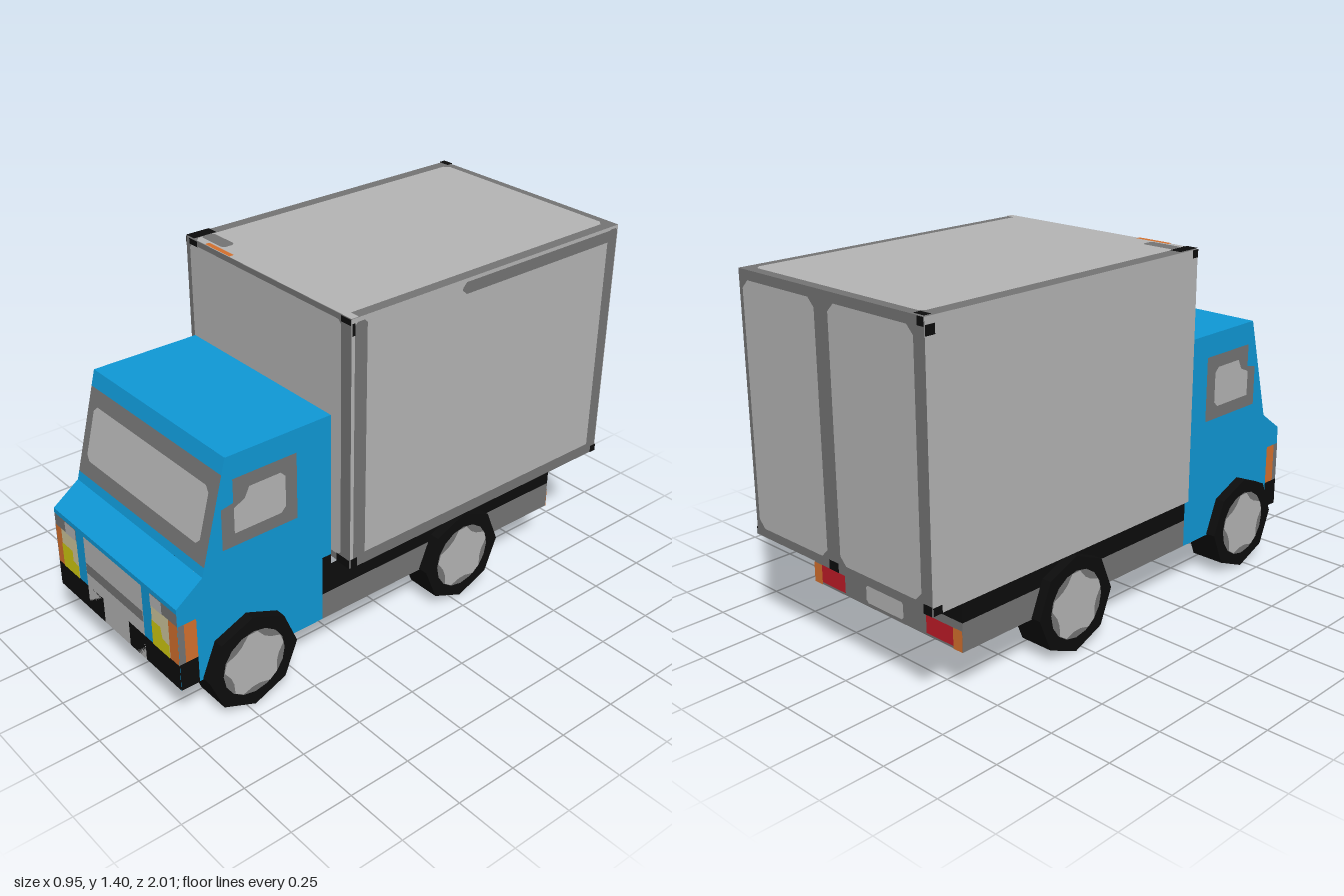
import * as THREE from 'three';

const mat = (name, color) => {
  const m = new THREE.MeshStandardMaterial({ color, side: THREE.DoubleSide });
  m.name = name;
  return m;
};

export function createModel() {
  const M = {
    blue: mat('cabBlue', 0x0f98d6),
    light: mat('lightGrey', 0xb4b4b4),
    dark: mat('darkGrey', 0x747474),
    black: mat('black', 0x0c0c0c),
    orange: mat('orange', 0xd4702d),
    yellow: mat('yellow', 0xd0c810),
    beige: mat('beige', 0xcec69c),
    red: mat('red', 0xbe1b27),
  };
  const model = new THREE.Group();
  model.name = 'boxTruck';

  const group = (name, parent = model) => {
    const g = new THREE.Group();
    g.name = name;
    parent.add(g);
    return g;
  };
  // Flat polygon on a face; layer lifts painted details slightly off the base
  const poly = (face, name, m, pts, layer = 0) => {
    const shape = new THREE.Shape(pts.map(([a, b]) => new THREE.Vector2(...face.userData.map(a, b))));
    const mesh = new THREE.Mesh(new THREE.ShapeGeometry(shape), m);
    mesh.name = name;
    mesh.position.z = layer * 0.002;
    face.add(mesh);
  };
  // Rectangle with optional cut corners
  const rect = (face, name, m, a0, a1, b0, b1, layer = 0, c = 0) => poly(face, name, m, c
    ? [[a0 + c, b0], [a1 - c, b0], [a1, b0 + c], [a1, b1 - c], [a1 - c, b1], [a0 + c, b1], [a0, b1 - c], [a0, b0 + c]]
    : [[a0, b0], [a1, b0], [a1, b1], [a0, b1]], layer);
  // Face spanning x and running from (y0, z0) to (y1, z1); coordinates are (x, distance)
  const strip = (name, parent, y0, z0, y1, z1) => {
    const f = group(name, parent);
    f.position.set(0, y0, z0);
    f.rotation.x = -Math.atan2(z0 - z1, y1 - y0);
    f.userData.map = (x, d) => [x, d];
    return f;
  };
  // Face on the side at x; coordinates are (z, y)
  const side = (name, parent, x) => {
    const s = Math.sign(x);
    const f = group(name, parent);
    f.position.x = x;
    f.rotation.y = s * Math.PI / 2;
    f.userData.map = (z, y) => [-s * z, y];
    return f;
  };

  // Cargo box, open underneath
  const box = group('cargoBox');
  const bf = strip('boxFront', box, 0.42, 0.31, 1.4, 0.31);
  rect(bf, 'frontFrame', M.dark, -0.47, 0.47, 0, 0.98);
  rect(bf, 'frontPanel', M.light, -0.445, 0.42, 0.03, 0.96, 1, 0.015);
  rect(bf, 'corner', M.black, -0.445, -0.395, 0.958, 0.98, 2);
  rect(bf, 'corner', M.black, 0.42, 0.47, 0.958, 0.98, 2);
  rect(bf, 'corner', M.black, 0.4, 0.47, 0, 0.035, 2);

  const bt = strip('boxRoof', box, 1.4, 0.31, 1.4, -1);
  rect(bt, 'roofFrame', M.dark, -0.47, 0.47, 0, 1.31);
  rect(bt, 'roofPanel', M.light, -0.42, 0.43, 0, 1.275, 1, 0.02);
  rect(bt, 'roofEdge', M.light, -0.4, 0.47, 0, 0.03, 1);
  rect(bt, 'roofMark', M.dark, -0.42, -0.28, 0.03, 0.085, 2, 0.012);
  rect(bt, 'roofMarker', M.orange, -0.35, -0.2, 0, 0.02, 2);
  rect(bt, 'corner', M.black, -0.47, -0.42, 0, 0.1, 2);
  rect(bt, 'corner', M.black, -0.47, -0.42, 1.28, 1.31, 2);

  const bb = strip('boxRear', box, 1.4, -1, 0.42, -1);
  rect(bb, 'rearFrame', M.dark, -0.47, 0.47, 0, 0.98);
  rect(bb, 'leftDoor', M.light, 0.06, 0.45, 0.035, 0.945, 1, 0.03);
  rect(bb, 'rightDoor', M.light, -0.42, -0.01, 0.035, 0.945, 1, 0.03);
  rect(bb, 'doorLatch', M.black, 0, 0.05, 0.945, 0.98, 2);
  rect(bb, 'corner', M.black, -0.47, -0.43, 0.945, 0.98, 2);
  rect(bb, 'corner', M.black, -0.47, -0.44, 0, 0.03, 2);

  const bl = side('boxLeft', box, 0.47);
  rect(bl, 'sidePanel', M.light, -1, 0.31, 0.42, 1.4);
  rect(bl, 'frontTrim', M.dark, 0.243, 0.297, 0.42, 1.385, 1, 0.012);
  rect(bl, 'rearTrim', M.dark, -0.995, -0.945, 0.42, 1.39, 1, 0.01);
  rect(bl, 'bottomTrim', M.dark, -0.995, 0.297, 0.42, 0.467, 1, 0.01);
  rect(bl, 'topTrim', M.dark, -0.99, -0.19, 1.342, 1.387, 1, 0.018);
  rect(bl, 'corner', M.black, -1, -0.97, 0.42, 0.45, 2);
  rect(bl, 'corner', M.black, 0.28, 0.31, 0.42, 0.46, 2);
  rect(bl, 'corner', M.black, 0.298, 0.31, 1.34, 1.385, 2);

  const br = side('boxRight', box, -0.47);
  rect(br, 'sidePanel', M.light, -1, 0.31, 0.42, 1.4);
  rect(br, 'corner', M.black, -1, -0.96, 1.34, 1.375, 1);
  rect(br, 'corner', M.black, -1, -0.96, 0.42, 0.45, 1);
  rect(br, 'corner', M.black, 0.28, 0.31, 1.37, 1.4, 1);

  // Cab shell, open underneath
  const cab = group('cab');
  const roof = strip('cabRoof', cab, 1.03, 0.78, 1.03, 0.34);
  rect(roof, 'roofPanel', M.blue, -0.4, 0.4, 0, 0.44);
  const back = strip('cabBack', cab, 1.03, 0.34, 0.42, 0.34);
  rect(back, 'backPanel', M.blue, -0.4, 0.4, 0, 0.61);
  const hood = strip('hood', cab, 0.53, 1, 0.61, 0.89);
  rect(hood, 'hoodPanel', M.blue, -0.4, 0.4, 0, 0.136);
  const ws = strip('windscreen', cab, 0.61, 0.89, 1.03, 0.78);
  rect(ws, 'lowerTrim', M.blue, -0.4, 0.4, 0, 0.036);
  rect(ws, 'windowFrame', M.dark, -0.4, 0.4, 0.036, 0.372);
  rect(ws, 'upperTrim', M.blue, -0.4, 0.4, 0.372, 0.434);
  rect(ws, 'glass', M.light, -0.36, 0.355, 0.098, 0.31, 1, 0.02);

  // Cab front with grille, lamps and bumper, heights measured from y = 0.19
  const cf = strip('cabFront', cab, 0.19, 1, 0.53, 1);
  rect(cf, 'topBand', M.blue, -0.4, 0.4, 0.32, 0.34);
  rect(cf, 'grille', M.light, -0.195, 0.185, 0, 0.32);
  rect(cf, 'grilleBar', M.dark, -0.19, 0.185, 0.165, 0.21, 1);
  rect(cf, 'pillar', M.blue, -0.25, -0.195, 0.105, 0.32);
  rect(cf, 'pillar', M.blue, 0.185, 0.24, 0.105, 0.32);
  for (const [inner, outer, edge] of [[-0.25, -0.36, -0.4], [0.24, 0.345, 0.4]]) {
    rect(cf, 'lampSurround', M.dark, inner, edge, 0.27, 0.32);
    rect(cf, 'lampTop', M.light, inner, (inner + 2 * outer) / 3, 0.27, 0.32, 1);
    rect(cf, 'indicator', M.orange, outer, edge, 0.105, 0.27);
    rect(cf, 'lamp', M.beige, inner, outer, 0.105, 0.27);
  }
  poly(cf, 'headlight', M.yellow, [[-0.36, 0.105], [-0.25, 0.105], [-0.25, 0.16], [-0.285, 0.165], [-0.285, 0.21], [-0.36, 0.21]], 1);
  poly(cf, 'headlight', M.yellow, [[0.24, 0.105], [0.345, 0.105], [0.345, 0.16], [0.305, 0.165], [0.295, 0.21], [0.24, 0.21]], 1);
  rect(cf, 'bumper', M.black, -0.4, -0.09, 0, 0.105);
  rect(cf, 'bumper', M.black, 0.08, 0.4, 0, 0.105);

  for (const s of [1, -1]) {
    const lr = s > 0 ? 'left' : 'right';
    // Cab side with door window and wrapped front details
    const cs = side(lr + 'CabSide', cab, s * 0.4);
    poly(cs, 'sidePanel', M.blue, [[0.38, 0.19], [1, 0.19], [1, 0.53], [0.89, 0.61], [0.78, 1.03], [0.34, 1.03], [0.34, 0.46], [0.38, 0.46]]);
    poly(cs, 'windowFrame', M.dark, [[0.49, 0.68], [0.805, 0.68], [0.805, 0.84], [0.755, 0.85], [0.755, 0.94], [0.49, 0.94]], 1);
    poly(cs, 'glass', M.light, [[0.56, 0.73], [0.755, 0.73], [0.755, 0.83], [0.71, 0.85], [0.69, 0.89], [0.56, 0.89], [0.54, 0.87], [0.54, 0.75]], 2);
    rect(cs, 'indicator', M.orange, 0.925, 0.975, 0.3, 0.46, 1);
    rect(cs, 'lampEdge', M.dark, 0.975, 1, 0.3, 0.46, 1);
    rect(cs, 'bumperEnd', M.black, 0.925, 1, 0.19, 0.3, 1);

    // Chassis rail
    const rail = side(lr + 'ChassisRail', model, s * 0.4);
    poly(rail, 'upperRail', M.black, [[0.38, 0.3], [0.38, 0.46], [0.34, 0.46], [0.34, 0.42], [-0.81, 0.42], [-0.81, 0.3]]);
    rect(rail, 'lowerSkirt', M.dark, -0.81, 0.38, 0.19, 0.3);
    
    // Wheels: eight-sided tyre open on the inside, with a flat hub
    for (const [name, z] of [['Front', 0.72], ['Rear', -0.29]]) {
      const wheel = group(lr + name + 'Wheel');
      wheel.position.set(s * 0.44, 0.195, z);
      wheel.rotation.y = s * Math.PI / 2;
      const part = (n, geo, m, dz) => {
        const mesh = new THREE.Mesh(geo, m);
        mesh.name = n;
        mesh.position.z = dz;
        wheel.add(mesh);
      };
      const tread = new THREE.CylinderGeometry(0.19, 0.19, 0.14, 8, 1, true).toNonIndexed();
      tread.rotateX(Math.PI / 2);
      tread.computeVertexNormals();
      part('tread', tread, M.black, -0.07);
      part('tyreWall', new THREE.RingGeometry(0.125, 0.19, 8), M.black, 0);
      part('rim', new THREE.CircleGeometry(0.133, 16), M.dark, 0.001);
      const hub = new THREE.Shape();
      for (let i = 0; i < 20; i++) {
        const a = i / 20 * Math.PI * 2 + 0.2, r = i % 4 < 2 ? 0.13 : 0.105;
        hub[i ? 'lineTo' : 'moveTo'](r * Math.cos(a), r * Math.sin(a));
      }
      part('hub', new THREE.ShapeGeometry(hub), M.light, 0.003);
    }
  }

  // Chassis rear with lamps and plate, distances measured down from y = 0.42
  const tail = strip('chassisRear', model, 0.42, -0.81, 0.19, -0.81);
  rect(tail, 'rearBeam', M.black, -0.4, 0.4, 0, 0.12);
  rect(tail, 'rearSkirt', M.dark, -0.4, 0.4, 0.12, 0.23);
  rect(tail, 'rearPlate', M.light, -0.1, 0.1, 0.145, 0.215, 1, 0.01);
  for (const s of [1, -1]) {
    rect(tail, 'tailLamp', M.red, s * 0.22, s * 0.355, 0.15, 0.22, 1);
    rect(tail, 'rearIndicator', M.orange, s * 0.355, s * 0.4, 0.15, 0.23, 1);
  }
  return model;
}
